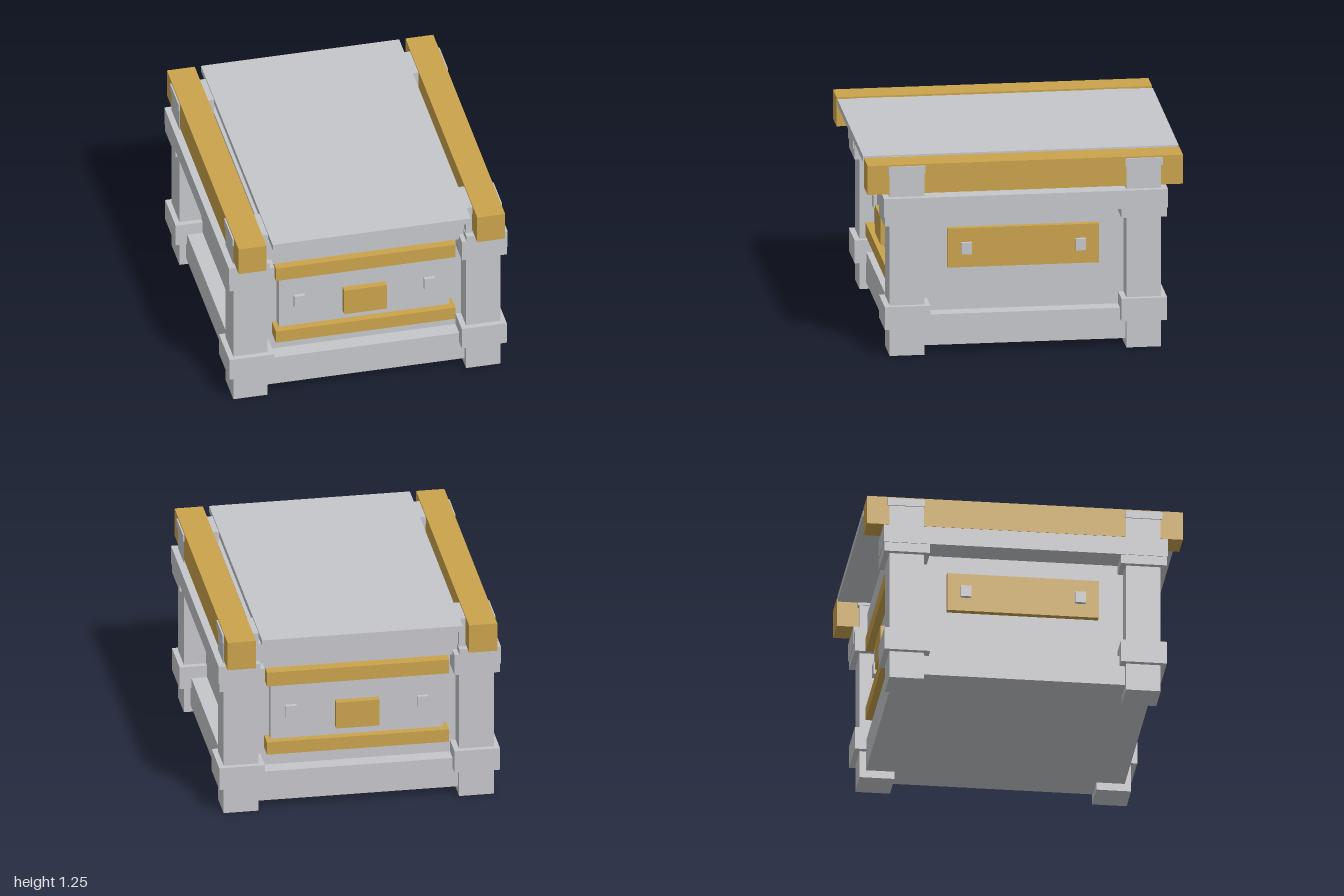
import * as THREE from 'three';

export function createModel() {
  const model = new THREE.Group();
  const stone = new THREE.MeshStandardMaterial({ color: 0xc5c6ca });
  stone.name = 'paleStone';
  const gold = new THREE.MeshStandardMaterial({ color: 0xc9a34c });
  gold.name = 'gold';

  // Box given by its extents on each axis
  function box(name, material, [x0, x1], [y0, y1], [z0, z1], parent = model) {
    const mesh = new THREE.Mesh(new THREE.BoxGeometry(x1 - x0, y1 - y0, z1 - z0), material);
    mesh.position.set((x0 + x1) / 2, (y0 + y1) / 2, (z0 + z1) / 2);
    mesh.name = name;
    parent.add(mesh);
  }
  const sym = (r) => [-r, r];
  const span = (s, a, b) => (s > 0 ? [a, b] : [-b, -a]);

  // Central body and lid
  box('base', stone, sym(0.82), [0.05, 0.25], sym(0.82));
  box('body', stone, sym(0.72), [0.25, 1.0], sym(0.72));
  box('upperBlock', stone, sym(0.64), [0.965, 1.14], sym(0.81));
  box('lid', stone, sym(0.64), [1.21, 1.25], sym(1));

  // Corner posts with collars and caps
  for (const sx of [-1, 1]) {
    for (const sz of [-1, 1]) {
      const post = new THREE.Group();
      post.name = 'cornerPost';
      model.add(post);
      box('postShaft', stone, span(sx, 0.64, 0.862), [0, 1.2], span(sz, 0.64, 0.86), post);
      box('lowerCollar', stone, span(sx, 0.605, 0.895), [0.18, 0.33], span(sz, 0.605, 0.895), post);
      box('upperCollar', stone, span(sx, 0.605, 0.895), [0.86, 1.0], span(sz, 0.605, 0.895), post);
      box('postCap', stone, span(sx, 0.635, 0.87), [1.19, 1.24], span(sz, 0.635, 0.87), post);
    }
  }

  // Left and right sides: rail, long beam, inlaid panel and studs
  for (const s of [-1, 1]) {
    const side = new THREE.Group();
    side.name = s > 0 ? 'leftSide' : 'rightSide';
    model.add(side);
    box('sideRail', stone, span(s, 0.635, 0.9), [0.92, 1.04], sym(0.9), side);
    box('topBeam', gold, span(s, 0.68, 0.86), [1.06, 1.25], sym(1), side);
    box('sidePanel', gold, span(s, 0.7, 0.76), [0.535, 0.79], sym(0.48), side);
    for (const t of [-1, 1]) {
      box('sideStud', stone, span(s, 0.74, 0.785), [0.625, 0.7], span(t, 0.33, 0.395), side);
    }
  }

  // Front and back: panel, trim strips, centre plate and studs
  for (const s of [-1, 1]) {
    const face = new THREE.Group();
    face.name = s > 0 ? 'frontFace' : 'backFace';
    model.add(face);
    box('facePanel', stone, sym(0.55), [0.4, 0.9], span(s, 0.7, 0.78), face);
    box('lowerTrim', gold, sym(0.58), [0.37, 0.455], span(s, 0.7, 0.83), face);
    box('upperTrim', gold, sym(0.58), [0.845, 0.94], span(s, 0.7, 0.83), face);
    box('centrePlate', gold, sym(0.138), [0.515, 0.695], span(s, 0.76, 0.825), face);
    for (const t of [-1, 1]) {
      box('faceStud', stone, span(t, 0.385, 0.455), [0.605, 0.685], span(s, 0.76, 0.805), face);
    }
  }
  return model;
}
